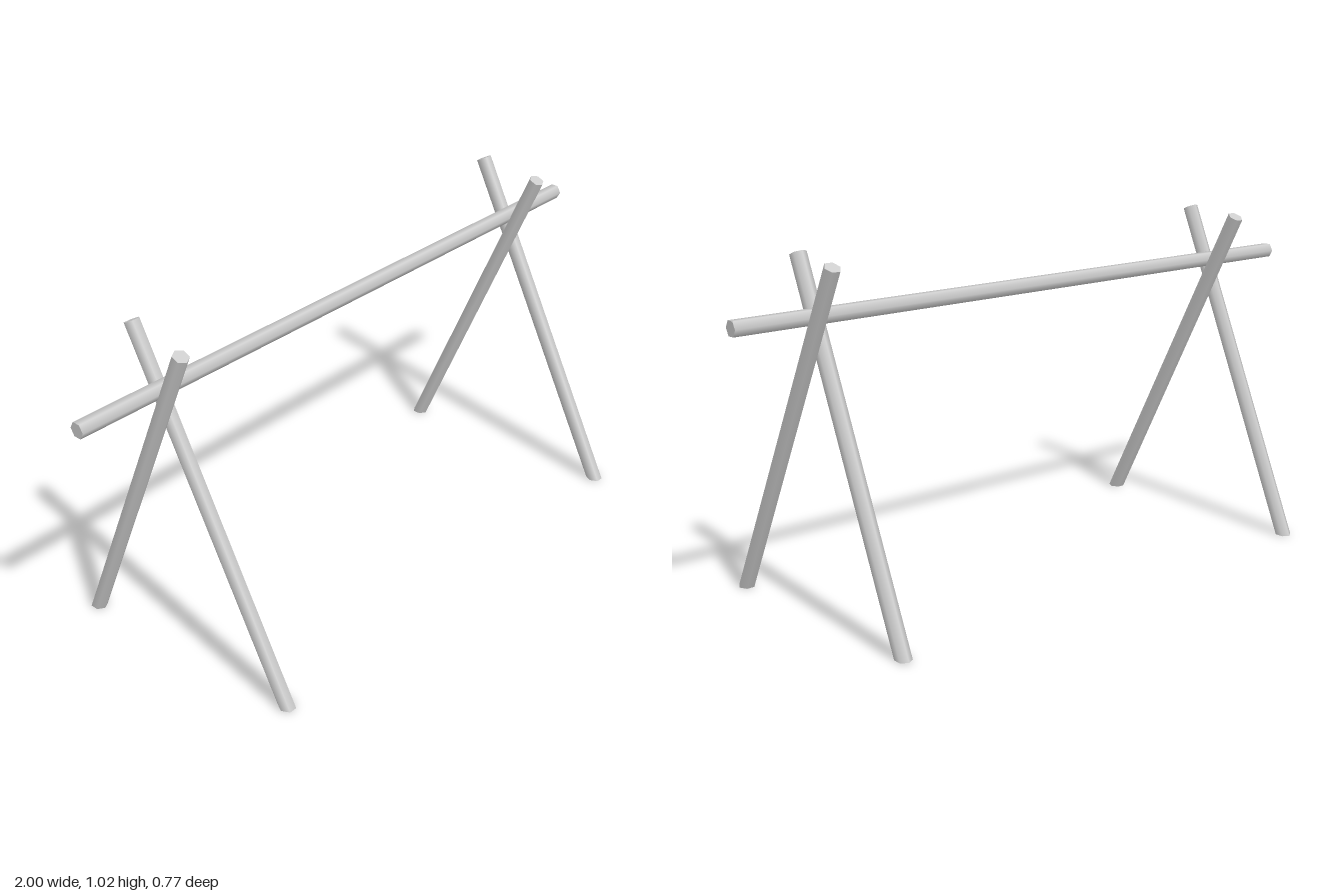
import * as THREE from 'three';

const material = new THREE.MeshStandardMaterial({ color: 0xcccccc });
const RADIUS = 0.0235;
const UP = new THREE.Vector3(0, 1, 0);

// Six-sided pole between two points; a grounded pole is sawn level at y = 0
function pole(name, from, to, twist = 0, grounded = false) {
  const a = new THREE.Vector3(...from), b = new THREE.Vector3(...to);
  const dir = b.clone().sub(a);
  const length = dir.length();
  dir.normalize();
  const geometry = new THREE.CylinderGeometry(RADIUS, RADIUS, length, 6, 1, false, twist);
  geometry.applyQuaternion(new THREE.Quaternion().setFromUnitVectors(UP, dir));
  const mid = a.clone().add(b).multiplyScalar(0.5);
  geometry.translate(mid.x, mid.y, mid.z);

  if (grounded) {
    const pos = geometry.attributes.position, nor = geometry.attributes.normal;
    const p = new THREE.Vector3(), n = new THREE.Vector3();
    for (let i = 0; i < pos.count; i++) {
      p.fromBufferAttribute(pos, i);
      if (p.y > 0.2) continue;
      // Slide the foot corners along the pole down (or up) to the ground
      p.addScaledVector(dir, -p.y / dir.y);
      pos.setXYZ(i, p.x, p.y, p.z);
      n.fromBufferAttribute(nor, i);
      if (n.dot(dir) < -0.9) nor.setXYZ(i, 0, -1, 0);
    }
  }
  const mesh = new THREE.Mesh(geometry, material);
  mesh.name = name;
  return mesh;
}

export function createModel() {
  const model = new THREE.Group();
  model.name = 'poleRack';

  // Two crossed pairs of legs
  const pairs = [
    { side: 'right', frontX: -0.705, backX: -0.757, backFoot: -0.357 },
    { side: 'left', frontX: 0.78, backX: 0.73, backFoot: -0.35 },
  ];
  for (const { side, frontX, backX, backFoot } of pairs) {
    const legs = new THREE.Group();
    legs.name = side + 'Legs';
    legs.add(
      pole('frontLeg', [frontX, 0, 0.364], [frontX, 1.003, -0.154], Math.PI / 6, true),
      pole('backLeg', [backX, 0, backFoot], [backX, 1.007, 0.089], 0, true),
    );
    model.add(legs);
  }

  // Crossbar resting in the forks, slightly askew
  model.add(pole('crossbar', [-1, 0.856, -0.034], [1, 0.856, -0.022]));
  return model;
}
